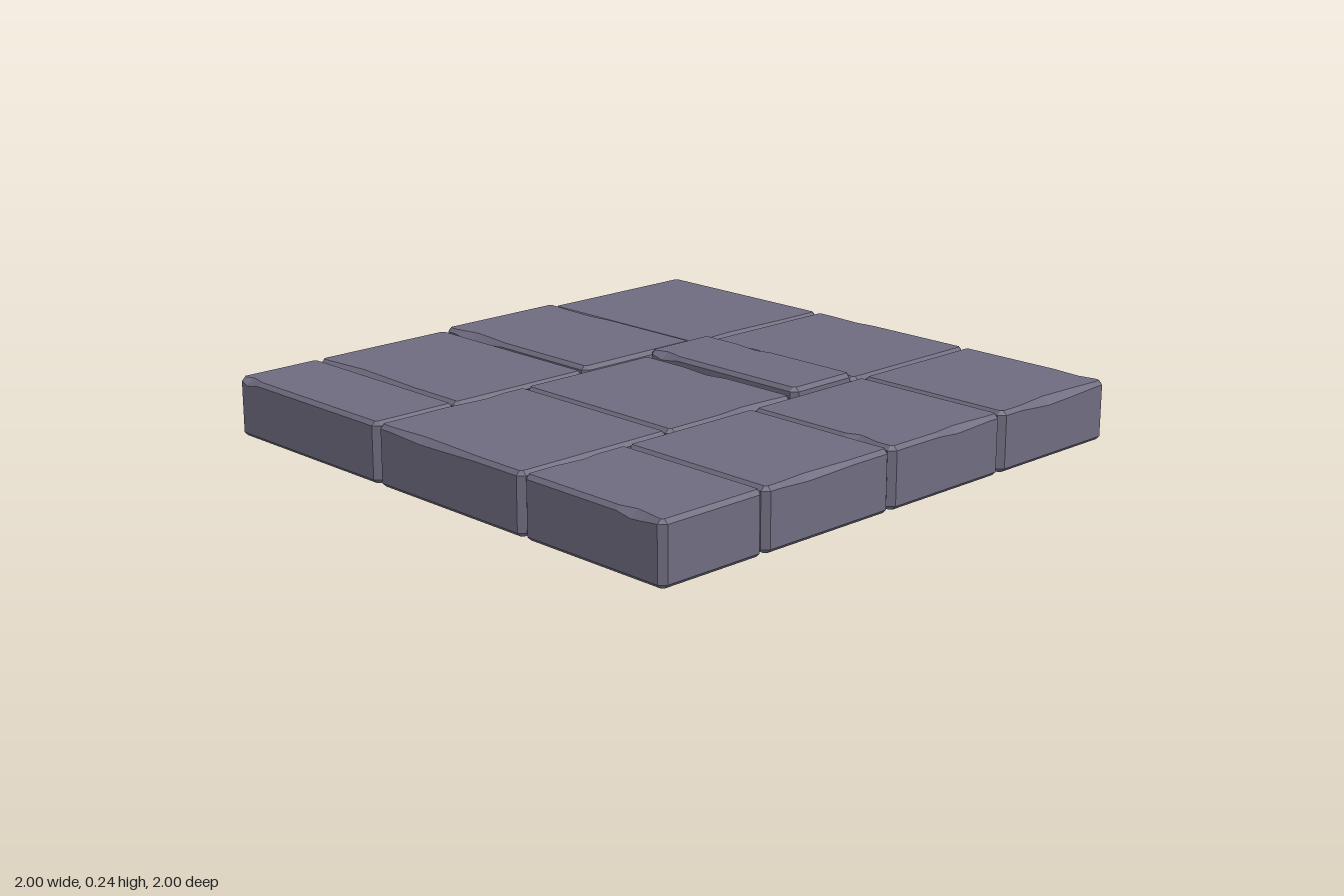
import * as THREE from 'three';

const BEVEL = 0.013, CORNER = 0.02, GAP = 0.002;

// Bevelled stone slab lofted from four outlines, with chips worn into its top edges.
// chip: [side 0 front / 1 right / 2 back / 3 left, position -1..1 along it, half width, depth]
function slabGeometry(w, h, d, chips) {
  const outline = [];
  for (let side = 0; side < 4; side++) {
    const half = (side % 2 ? d : w) / 2, out = (side % 2 ? w : d) / 2;
    const end = half - CORNER;
    const pts = [[-end, 0], [end, 0]];
    for (const [s, t, hw, depth] of chips) {
      if (s !== side) continue;
      const u = t * half;
      for (const [k, f] of [[-1, 0], [-0.3, 1], [0.25, 0.65], [1, 0]]) {
        pts.push([THREE.MathUtils.clamp(u + k * hw, -end + 0.005, end - 0.005), f * depth]);
      }
    }
    pts.sort((a, b) => a[0] - b[0]);
    for (const [u, chip] of pts) outline.push({ side, u, out, chip });
  }

  const place = ({ side, u, out }, inset, y) => {
    const o = out - inset;
    return [[u, y, o], [o, y, -u], [-u, y, -o], [-o, y, u]][side];
  };
  const rings = [
    outline.map((p) => place(p, BEVEL, 0)),
    outline.map((p) => place(p, 0, BEVEL)),
    outline.map((p) => place(p, 0, h - BEVEL - p.chip * 0.7)),
    outline.map((p) => place(p, BEVEL + p.chip, h)),
  ];

  const pos = [], n = outline.length;
  const tri = (a, b, c) => pos.push(...a, ...b, ...c);
  for (let j = 0; j < n; j++) {
    const k = (j + 1) % n;
    for (let i = 0; i < 3; i++) {
      tri(rings[i][j], rings[i][k], rings[i + 1][k]);
      tri(rings[i][j], rings[i + 1][k], rings[i + 1][j]);
    }
    tri([0, h, 0], rings[3][j], rings[3][k]);
    tri([0, 0, 0], rings[0][k], rings[0][j]);
  }
  const geo = new THREE.BufferGeometry();
  geo.setAttribute('position', new THREE.Float32BufferAttribute(pos, 3));
  geo.computeVertexNormals();
  return geo;
}

export function createModel() {
  const group = new THREE.Group();
  group.name = 'stoneFloor';
  const stone = new THREE.MeshStandardMaterial({ color: 0x6f6b7f, flatShading: true });

  // Each column: x range, row boundaries along z, chips per slab, and how far a slab swells up and down
  const columns = [
    {
      name: 'left', x: [-1, -0.26], z: [-1, -0.36, 0.14, 0.685, 1], swell: [0, 0.01, 0, 0],
      chips: [[[1, -0.2, 0.2, 0.008]], [[0, -0.5, 0.13, 0.018], [2, 0.5, 0.15, 0.01]],
        [[0, -0.25, 0.22, 0.014]], [[0, -0.83, 0.05, 0.015]]],
    },
    {
      name: 'middle', x: [-0.26, 0.42], z: [-1, -0.425, -0.14, 0.41, 1], swell: [0, 0, 0, 0].map((v, i) => (i === 1 ? 0.02 : v)),
      chips: [[[0, -0.2, 0.25, 0.016], [2, 0.5, 0.1, 0.008]], [[0, -0.75, 0.06, 0.015], [2, 0.3, 0.08, 0.015]],
        [[1, 0.4, 0.16, 0.012], [2, 0.15, 0.1, 0.015]], [[0, -0.2, 0.2, 0.01], [3, -0.3, 0.12, 0.012]]],
    },
    {
      name: 'right', x: [0.42, 1], z: [-1, -0.46, 0.06, 0.6, 1], swell: [0, 0, 0, 0],
      chips: [[[1, 0.1, 0.2, 0.015], [2, -0.6, 0.08, 0.01]], [[0, 0.53, 0.06, 0.018], [1, 0.3, 0.12, 0.01]],
        [[1, -0.2, 0.15, 0.008]], [[0, 0.65, 0.08, 0.014], [3, 0, 0.08, 0.01]]],
    },
  ];

  for (const { name, x, z, swell, chips } of columns) {
    for (let i = 0; i < 4; i++) {
      // Only inner edges give way to the joint, so the outer rim stays square
      const lo = (v) => (v === -1 ? v : v + GAP), hi = (v) => (v === 1 ? v : v - GAP);
      const x0 = lo(x[0]), x1 = hi(x[1]), z0 = lo(z[i]), z1 = hi(z[i + 1]);
      const slab = new THREE.Mesh(slabGeometry(x1 - x0, 0.2 + 2 * swell[i], z1 - z0, chips[i]), stone);
      slab.position.set((x0 + x1) / 2, 0.02 - swell[i], (z0 + z1) / 2);
      slab.name = `${name}Slab${i + 1}`;
      group.add(slab);
    }
  }
  return group;
}
